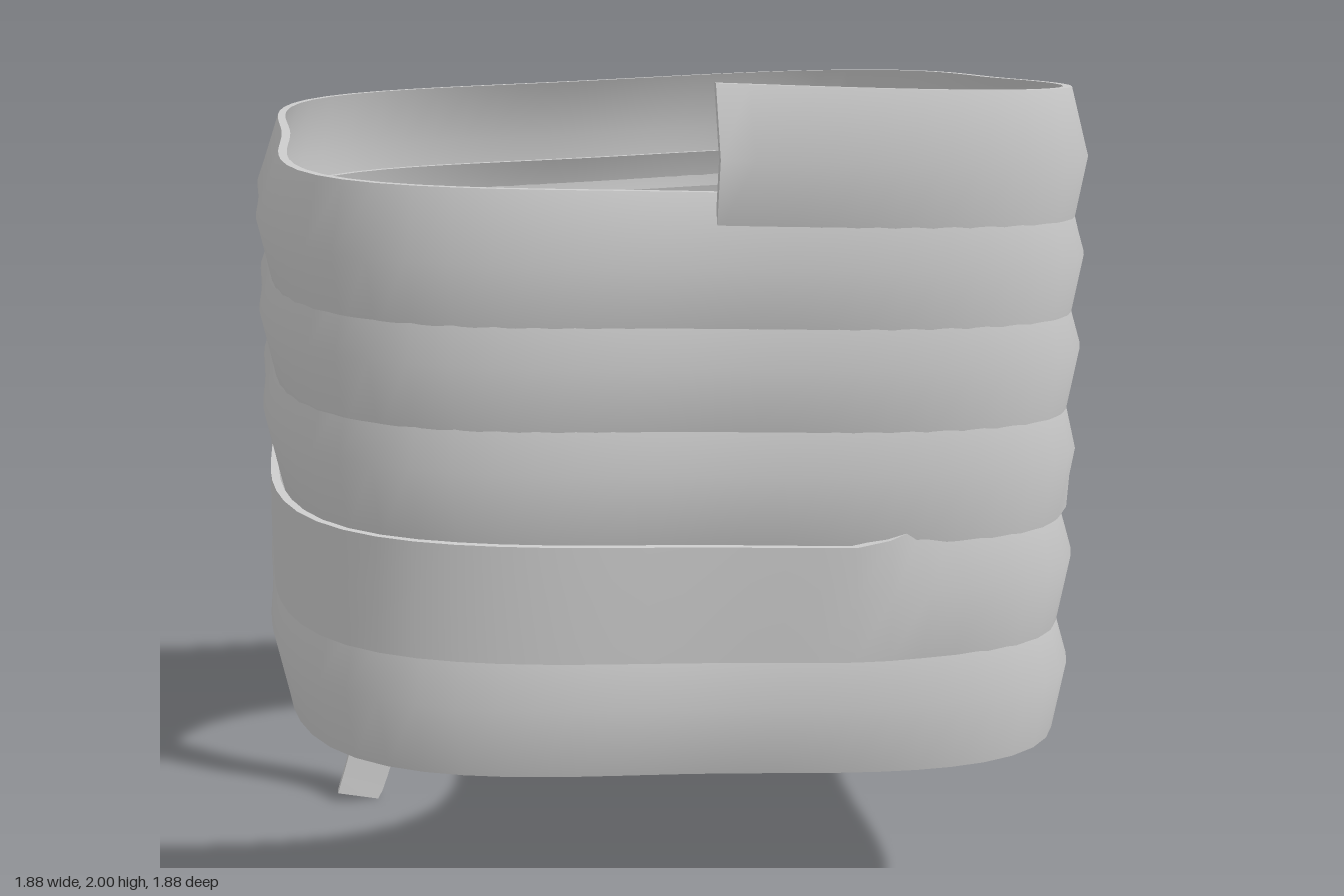
import * as THREE from 'three';
import { toCreasedNormals } from 'three/addons/utils/BufferGeometryUtils.js';

const TURNS = 5.5, PITCH = 0.235, SEGMENTS = 80, THICKNESS = 0.02;
const { smoothstep, lerp } = THREE.MathUtils;

// Joins cross-section loops into a capped solid; each loop runs up the
// outer side and then back down the inner side.
function sweep(loops) {
  const n = loops[0].length, last = (loops.length - 1) * n, index = [];
  const quad = (a, b, c, d) => index.push(a, b, c, a, c, d);
  for (let i = 0; i < loops.length - 1; i++) {
    for (let j = 0; j < n; j++) {
      const k = (j + 1) % n;
      quad(i * n + j, (i + 1) * n + j, (i + 1) * n + k, i * n + k);
    }
  }
  for (let j = 0; j < n / 2 - 1; j++) {
    const c = [j, j + 1, n - 2 - j, n - 1 - j];
    quad(...c);
    quad(...c.reverse().map((v) => v + last));
  }
  const geometry = new THREE.BufferGeometry();
  geometry.setAttribute('position', new THREE.Float32BufferAttribute(loops.flat(2), 3));
  geometry.setIndex(index);
  return toCreasedNormals(geometry, 1.0);
}

// Rounded-square outline with slightly pinched sides and softened corners
function outline(angle, corner) {
  const s = Math.sin(angle), c = Math.cos(angle);
  return 0.961 / Math.pow(s ** 4 + c ** 4, 0.25)
    - 0.0135 * (1 + Math.cos(4 * angle)) - 0.037 * corner;
}

// How far the band is pressed flat at a given turn (0 bulged, 1 flat)
function flatness(t) {
  const patch = smoothstep(t, 3.145, 3.17) * (1 - smoothstep(t, 3.205, 3.25));
  const belt = smoothstep(t, 3.265, 3.295) * (1 - smoothstep(t, 4.05, 4.09));
  return Math.max(patch, belt);
}

// Bulging band wound as an overlapping spiral
function bandGeometry() {
  const bulged = [[-0.04, 0], [0, 0.16], [-0.06, 0.31]];
  const loops = [];
  for (let i = 0; i <= TURNS * SEGMENTS; i++) {
    const t = i / SEGMENTS, angle = t * Math.PI * 2;
    const corner = Math.sin(2 * angle) ** 4;
    const r = outline(angle, corner), f = flatness(t);
    const y = 1.715 - PITCH * t - 0.025 * Math.cos((2 * Math.PI * t) / 5.7);
    // the flat stretch starts tucked under the turn above, then stands proud
    const lip = lerp(-0.035, -0.012, smoothstep(t, 3.4, 3.7));
    const flat = [[-0.012, 0], [-0.01, 0.14], [lip, 0.255]];
    const profile = bulged.map((p, j) => p.map((v, k) => lerp(v, flat[j][k], f)));
    const point = ([offset, height], inset) => {
      const radius = r + offset * (1 - 0.35 * corner) - inset;
      return [radius * Math.sin(angle), y + height, radius * Math.cos(angle)];
    };
    loops.push([
      ...profile.map((p) => point(p, 0)),
      ...profile.map((p) => point(p, THICKNESS)).reverse(),
    ]);
  }
  return sweep(loops);
}

// Wavy ribbon following a path from its loose end upward, widening slightly
function tailGeometry(points) {
  const curve = new THREE.CatmullRomCurve3(points.map((p) => new THREE.Vector3(...p)));
  const d = 0.014, loops = [];
  for (let i = 0; i <= 20; i++) {
    const p = curve.getPoint(i / 20), t = curve.getTangent(i / 20);
    const w = 0.056 + 0.02 * (i / 20);
    const l = Math.hypot(t.x, t.y), ux = (-t.y / l) * w, uy = (t.x / l) * w;
    loops.push([[-1, 1], [1, 1], [1, -1], [-1, -1]].map(
      ([u, v]) => [p.x + u * ux, Math.max(0, p.y + u * uy), p.z + v * d]));
  }
  return sweep(loops);
}

export function createModel() {
  const group = new THREE.Group();
  const cloth = new THREE.MeshStandardMaterial({ color: 0xcccccc });
  cloth.name = 'pale grey cloth';
  const add = (name, geometry) => {
    const mesh = new THREE.Mesh(geometry, cloth);
    mesh.name = name;
    group.add(mesh);
  };

  add('spiralBand', bandGeometry());

  // Two loose ends hanging inside the band
  add('rightTail', tailGeometry([
    [-0.735, 0.005, -0.41], [-0.69, 0.15, -0.425], [-0.682, 0.29, -0.44],
    [-0.745, 0.56, -0.465], [-0.76, 0.75, -0.49], [-0.72, 1.0, -0.515],
  ]));
  add('leftTail', tailGeometry([
    [0.688, 0.345, -0.51], [0.73, 0.5, -0.53], [0.725, 0.65, -0.55],
    [0.58, 0.87, -0.59], [0.65, 1.05, -0.615],
  ]));
  return group;
}
